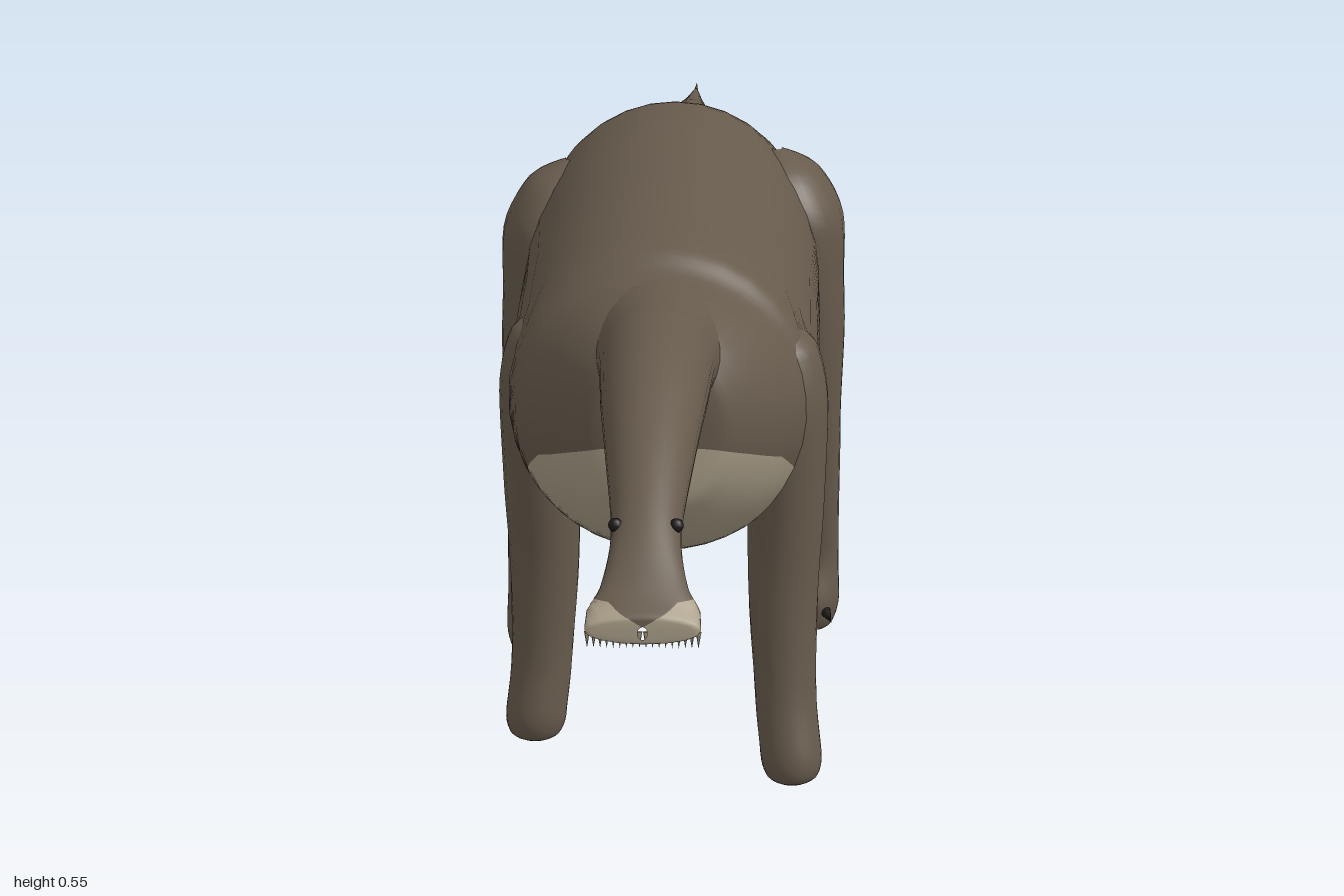
import * as THREE from 'three';

const mat = (name, color) => Object.assign(new THREE.MeshStandardMaterial({ color }), { name });

// Smooth tube through elliptical sections [x, y, z, ru, rv, a]. Angles within "a" of
// direction u take the second material; v is the side direction, d the path direction.
function loft(name, sections, d, u, materials, sub = 5) {
  const v = d.clone().cross(u);
  const last = sections.length - 1, rows = last * sub;
  const at = (i, k) => sections[Math.min(last, Math.max(0, i))][k];
  const sample = (t, k) => {
    const i = Math.min(last - 1, Math.floor(t)), f = t - i;
    const p1 = at(i, k), p2 = at(i + 1, k);
    if (k === 5) return Math.min(3.1, Math.max(0.04, p1 + (p2 - p1) * f));
    // Limited tangents keep unevenly spaced sections from overshooting
    const slope = (a, b, c) => (b - a) * (c - b) <= 0 ? 0 : 2 * (b - a) * (c - b) / (c - a);
    const m1 = slope(at(i - 1, k), p1, p2), m2 = slope(p1, p2, at(i + 2, k));
    const f2 = f * f, f3 = f2 * f;
    return (2 * f3 - 3 * f2 + 1) * p1 + (f3 - 2 * f2 + f) * m1 + (3 * f2 - 2 * f3) * p2 + (f3 - f2) * m2;
  };
  const LOW = 14, UP = 22, N = LOW + UP;
  const pos = [], sides = [[], []], p = new THREE.Vector3();
  for (let r = 0; r <= rows; r++) {
    const [x, y, z, ru, rv, a] = [0, 1, 2, 3, 4, 5].map(k => sample(r / sub, k));
    for (let j = 0; j < N; j++) {
      const th = j < LOW ? -a + 2 * a * j / LOW : a + (2 * Math.PI - 2 * a) * (j - LOW) / UP;
      p.set(x, y, z).addScaledVector(u, ru * Math.cos(th)).addScaledVector(v, rv * Math.sin(th));
      pos.push(p.x, p.y, p.z);
      if (r === rows) continue;
      const A = r * N + j, B = r * N + (j + 1) % N;
      sides[j < LOW ? 1 : 0].push(A, B, A + N, B, B + N, A + N);
    }
  }
  const g = new THREE.BufferGeometry();
  g.setAttribute('position', new THREE.Float32BufferAttribute(pos, 3));
  g.setIndex([...sides[0], ...sides[1]]);
  g.addGroup(0, sides[0].length, 0);
  g.addGroup(sides[0].length, sides[1].length, 1);
  g.computeVertexNormals();
  const mesh = new THREE.Mesh(g, materials);
  mesh.name = name;
  return mesh;
}

export function createModel() {
  const model = new THREE.Group();
  model.name = 'longNeckedDinosaur';
  const hide = mat('brownHide', 0x665a4c);
  const pale = mat('paleUnderside', 0xa99e88);
  const black = mat('blackClaw', 0x1c1a19);
  const skin = [hide, pale];
  const X = new THREE.Vector3(1, 0, 0), Y = new THREE.Vector3(0, 1, 0), Z = new THREE.Vector3(0, 0, 1);
  const down = Y.clone().negate(), back = Z.clone().negate();
  // Body rows: z, top, bottom, half width, pale angle
  const alongZ = rows => rows.map(([z, t, b, w, a]) => [0, (t + b) / 2, z, (t - b) / 2, w, a]);

  // Trunk and tail
  model.add(loft('trunkAndTail', alongZ([
    [0.578, 0.42, 0.36, 0.002, 1.3],
    [0.572, 0.468, 0.325, 0.055, 1.3],
    [0.55, 0.485, 0.3, 0.08, 1.3],
    [0.5, 0.497, 0.265, 0.112, 1.3],
    [0.45, 0.503, 0.245, 0.132, 1.15],
    [0.42, 0.52, 0.237, 0.139, 0.8],
    [0.37, 0.526, 0.232, 0.141, 1.2],
    [0.22, 0.533, 0.23, 0.142, 1.27],
    [0.08, 0.543, 0.243, 0.141, 1.1],
    [0.0, 0.545, 0.268, 0.135, 0.7],
    [-0.06, 0.537, 0.31, 0.118, 1.0],
    [-0.12, 0.512, 0.345, 0.088, 1.1],
    [-0.2, 0.475, 0.358, 0.055, 1.05],
    [-0.4, 0.442, 0.358, 0.038, 1.15],
    [-0.65, 0.394, 0.35, 0.023, 1.2],
    [-0.85, 0.353, 0.339, 0.009, 1.2],
    [-0.95, 0.336, 0.333, 0.002, 1.2],
  ]), back, down, skin));

  // Thin end of the tail
  const tip = new THREE.Mesh(new THREE.ConeGeometry(0.002, 0.035, 6), hide);
  tip.name = 'tailTip';
  tip.rotation.x = -Math.PI / 2;
  tip.position.set(0, 0.331, -0.9825);
  model.add(tip);

  // Neck and head, flaring to a wide flat muzzle
  model.add(loft('neckAndHead', alongZ([
    [0.998, 0.36, 0.349, 0.004, 3],
    [0.997, 0.367, 0.345, 0.047, 2.9],
    [0.98, 0.378, 0.349, 0.047, 2.5],
    [0.955, 0.395, 0.36, 0.036, 1.3],
    [0.9, 0.43, 0.379, 0.029, 0.95],
    [0.8, 0.475, 0.402, 0.037, 0.95],
    [0.7, 0.502, 0.412, 0.045, 0.95],
    [0.6, 0.508, 0.41, 0.05, 0.95],
    [0.54, 0.504, 0.4, 0.056, 0.95],
    [0.44, 0.5, 0.39, 0.07, 0.95],
  ]), back, down, skin));

  // Comb of small teeth along the muzzle
  const teeth = new THREE.Group();
  teeth.name = 'teeth';
  for (let i = 0; i < 18; i++) {
    const tooth = new THREE.Mesh(new THREE.ConeGeometry(0.0025, 0.014, 5), pale);
    tooth.name = 'tooth';
    tooth.rotation.x = Math.PI;
    tooth.position.set(-0.045 + i * 0.09 / 17, 0.347, 0.992);
    teeth.add(tooth);
  }
  model.add(teeth);

  // Leg rows: y, x, z, inner radius, fore-aft radius, pale angle
  const foreRows = [
    [0.45, 0.1, 0.41, 0.004, 0.006, 0], [0.43, 0.108, 0.41, 0.03, 0.04, 0],
    [0.37, 0.114, 0.412, 0.036, 0.05, 0], [0.28, 0.112, 0.415, 0.035, 0.043, 0],
    [0.2, 0.11, 0.422, 0.032, 0.034, 0], [0.1, 0.113, 0.436, 0.028, 0.028, 0.8],
    [0.05, 0.118, 0.447, 0.028, 0.028, 1.0], [0.03, 0.119, 0.449, 0.023, 0.024, 2.2],
    [0.02, 0.119, 0.449, 0.002, 0.002, 3],
  ];
  const hindRows = [
    [0.505, 0.1, -0.005, 0.004, 0.006, 0], [0.485, 0.106, -0.005, 0.035, 0.05, 0],
    [0.44, 0.119, -0.005, 0.045, 0.073, 0], [0.38, 0.125, -0.006, 0.04, 0.068, 1.2],
    [0.32, 0.13, -0.01, 0.036, 0.06, 1.3], [0.24, 0.132, -0.013, 0.031, 0.047, 1.2],
    [0.21, 0.133, -0.017, 0.03, 0.043, 0], [0.12, 0.135, -0.03, 0.027, 0.032, 0],
    [0.08, 0.135, -0.036, 0.027, 0.03, 0.9], [0.04, 0.134, -0.032, 0.029, 0.034, 1.2],
    [0.013, 0.133, -0.032, 0.022, 0.026, 2], [0.004, 0.133, -0.032, 0.002, 0.002, 3],
  ];
  for (const side of [1, -1]) {
    const name = side > 0 ? 'left' : 'right';
    const right = side < 0 ? 1 : 0;
    const inward = X.clone().multiplyScalar(-side);
    // The right legs are at another point of the stride
    const fore = foreRows.map(([y, x, z, ri, rz, a]) => {
      const low = right * (1 - y / 0.5);
      return [y, x, z, ri, rz, a, low];
    }).map(([y, x, z, ri, rz, a, low]) =>
      [side * x, y + 0.015 * low, z - 0.025 * right - 0.05 * low, rz, ri, a]);
    model.add(loft(name + 'ForeLeg', fore, down, back, skin));

    const stride = y => right * (0.03 + 0.055 * (1 - y / 0.5));
    const hind = hindRows.map(([y, x, z, ri, rz, a]) =>
      [side * x, Math.max(0, y - 0.004 * right), z + stride(y), ri, rz, a]);
    model.add(loft(name + 'HindLeg', hind, down, inward, skin));

    // Hind claws
    for (const i of [-1, 0, 1]) {
      const claw = new THREE.Mesh(new THREE.ConeGeometry(0.008, 0.036, 8), black);
      claw.name = name + 'Claw';
      claw.rotation.set(Math.PI / 2 + 0.15, 0, -i * 0.25);
      claw.position.set(side * 0.133 + i * 0.018, 0.031, 0.006 - Math.abs(i) * 0.006 + stride(0.03));
      model.add(claw);
    }

    // Eye
    const eye = new THREE.Mesh(new THREE.SphereGeometry(0.006, 12, 8), black);
    eye.name = name + 'Eye';
    eye.position.set(side * 0.025, 0.416, 0.905);
    model.add(eye);
  }
  return model;
}
